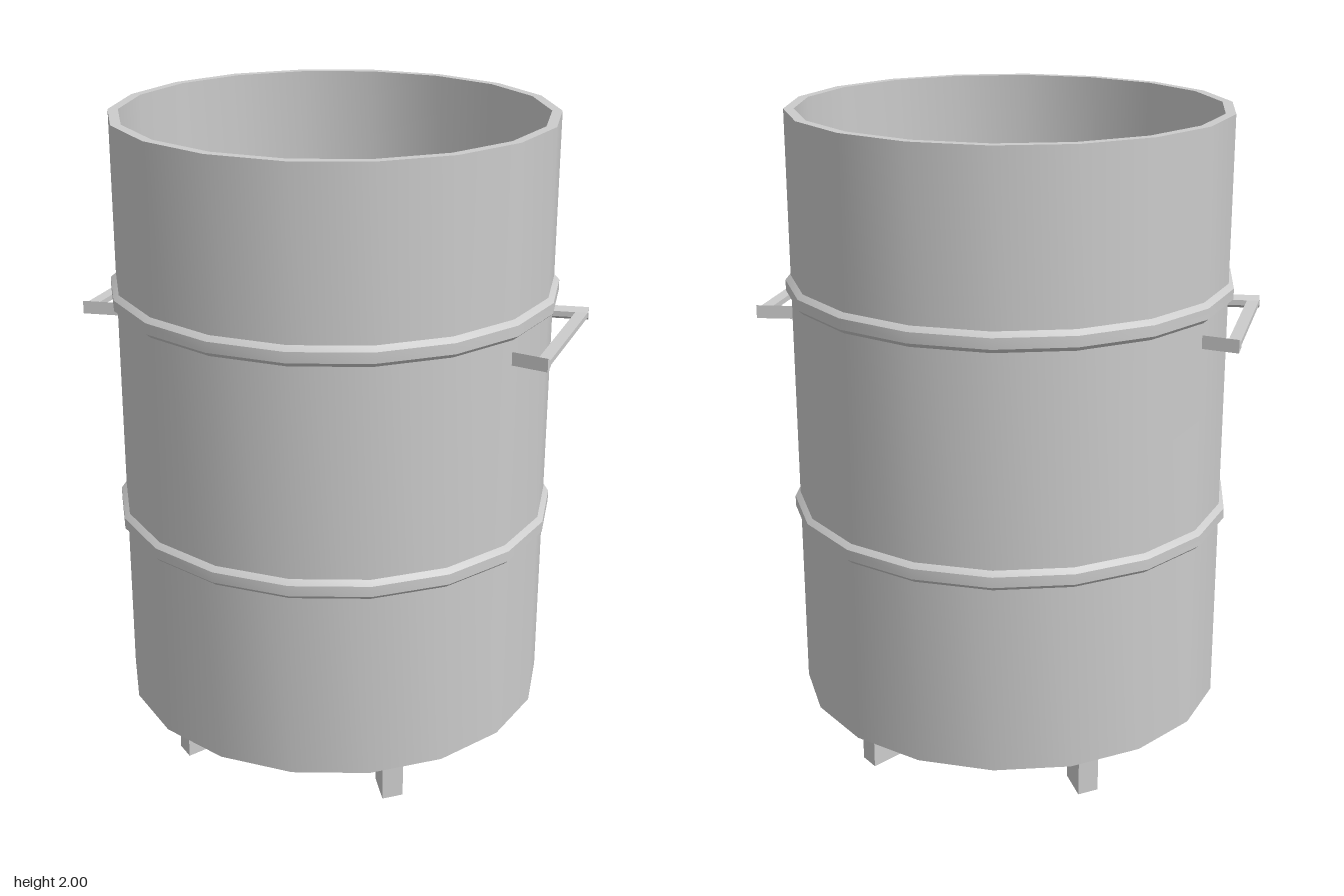
import * as THREE from 'three';
import { toCreasedNormals } from 'three/addons/utils/BufferGeometryUtils.js';

const SIDES = 18;
const RADIUS = 0.658;
const material = new THREE.MeshStandardMaterial({ color: 0xcccccc });

function addMesh(parent, name, geometry) {
  const mesh = new THREE.Mesh(geometry, material);
  mesh.name = name;
  parent.add(mesh);
  return mesh;
}

// Revolve a profile, keeping the rims sharp and the wall smooth
function revolve(profile) {
  const points = profile.map(([r, y]) => new THREE.Vector2(r, y));
  const lathe = new THREE.LatheGeometry(points, SIDES, Math.PI / SIDES);
  return toCreasedNormals(lathe, Math.PI / 7);
}

// Box whose back (-z) face is narrowed along one axis
function taperedBox(w, h, d, axis, factor) {
  const geometry = new THREE.BoxGeometry(w, h, d);
  const p = geometry.attributes.position;
  for (let i = 0; i < p.count; i++) {
    if (p.getZ(i) < 0) p.setComponent(i, axis, p.getComponent(i, axis) * factor);
  }
  geometry.computeVertexNormals();
  return geometry;
}

function createHandle() {
  const handle = new THREE.Group();
  handle.name = 'handle';
  // Brackets stand square to the wall facets, splaying slightly outwards
  for (const side of [1, -1]) {
    const bracket = new THREE.Group();
    bracket.name = 'handleBracket';
    const plate = addMesh(bracket, 'bracketPlate', taperedBox(0.115, 0.04, 0.02, 1, 0.4));
    plate.rotation.y = -Math.PI / 18;
    plate.position.set(0.67, 1.392, 0.226);
    if (side < 0) bracket.rotation.x = Math.PI, bracket.position.y = 2 * 1.392;
    handle.add(bracket);
  }
  const bar = addMesh(handle, 'handleBar', new THREE.BoxGeometry(0.036, 0.016, 0.45));
  bar.position.set(0.708, 1.392, 0);
  return handle;
}

export function createModel() {
  const model = new THREE.Group();
  model.name = 'drum';

  // Open drum with wall thickness and floor
  addMesh(model, 'drumBody', revolve([
    [0, 0.175], [RADIUS, 0.175], [RADIUS, 2], [0.628, 2], [0.628, 0.205], [0, 0.205],
  ]));

  // Raised hoops
  for (const y of [0.783, 1.477]) {
    addMesh(model, 'hoop', revolve([
      [RADIUS - 0.01, y - 0.03], [RADIUS, y - 0.03], [0.674, y - 0.016],
      [0.674, y + 0.016], [RADIUS, y + 0.03], [RADIUS - 0.01, y + 0.03],
    ]));
  }

  // Handles on both sides
  for (const angle of [0, Math.PI]) {
    const handle = createHandle();
    handle.rotation.y = angle;
    model.add(handle);
  }

  // Four wedge legs pointing outwards
  const legAngle = Math.PI * 2 / 9;
  for (const angle of [legAngle, -legAngle, Math.PI - legAngle, Math.PI + legAngle]) {
    const leg = addMesh(model, 'leg', taperedBox(0.066, 0.18, 0.11, 0, 0.45));
    leg.rotation.y = angle;
    leg.position.set(0.49 * Math.sin(angle), 0.09, 0.49 * Math.cos(angle));
  }
  return model;
}
